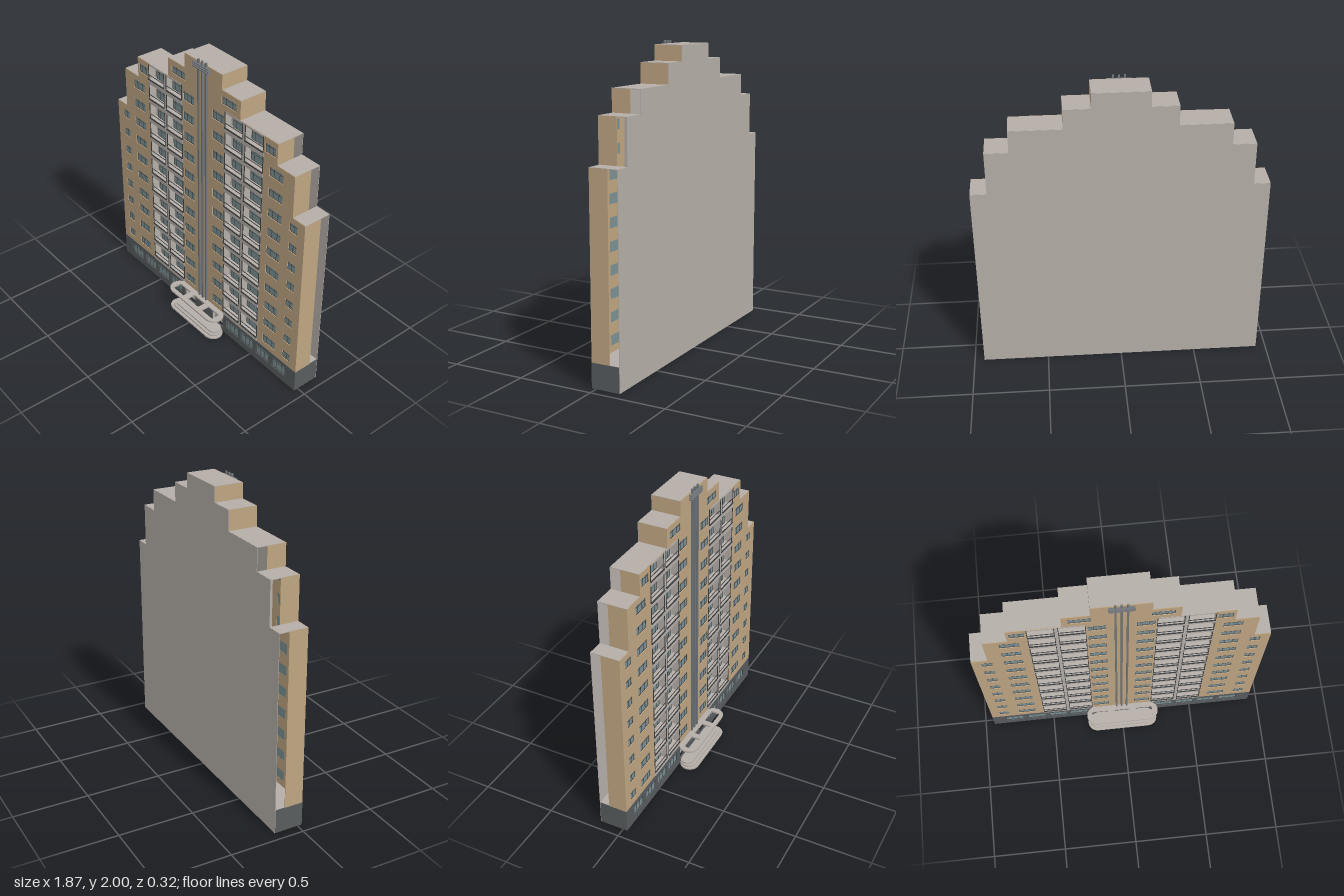
import * as THREE from 'three';
import { mergeGeometries } from 'three/addons/utils/BufferGeometryUtils.js';

const mat = (name, color) => new THREE.MeshStandardMaterial({ name, color, side: THREE.DoubleSide });

export function createModel() {
  const model = new THREE.Group();
  model.name = 'apartmentBlock';
  const tan = mat('tanWall', 0xbfa582), grey = mat('paleConcrete', 0xb5aea8), dark = mat('darkPlinth', 0x585c5e);
  const glass = mat('glass', 0x7b9194), iron = mat('darkIron', 0x3a3d3f), steel = mat('steel', 0x727679);
  const FRONT = 0.03, BACK = -0.16, FLOOR = 0.1445, BASE = 0.16;

  // Geometries are gathered by part name and merged into one mesh each
  const parts = new Map();
  const add = (name, material, geometry) => {
    if (!parts.has(name)) parts.set(name, { material, list: [] });
    parts.get(name).list.push(geometry.index ? geometry.toNonIndexed() : geometry);
  };
  const box = (name, material, x0, x1, y0, y1, z0, z1) => {
    const g = new THREE.BoxGeometry(Math.abs(x1 - x0), y1 - y0, z1 - z0);
    add(name, material, g.translate((x0 + x1) / 2, (y0 + y1) / 2, (z0 + z1) / 2));
  };
  const rectPath = (x0, x1, y0, y1) => new THREE.Path([[x0, y0], [x0, y1], [x1, y1], [x1, y0]].map(p => new THREE.Vector2(...p)));
  const extrude = (shape, depth) => new THREE.ExtrudeGeometry(shape, { depth, bevelEnabled: false, curveSegments: 12 });

  // Glazed window with an outer frame, mullions and a transom
  const window_ = (cx, cy, w, h, z, mullions) => {
    const x0 = cx - w / 2, x1 = cx + w / 2, y0 = cy - h / 2, y1 = cy + h / 2, t = 0.0015;
    box('windowGlass', glass, x0, x1, y0, y1, z - 0.003, z);
    const bar = (a, b, c, d) => box('windowFrames', iron, a, b, c, d, z, z + 0.003);
    bar(x0, x0 + t, y0, y1);
    bar(x1 - t, x1, y0, y1);
    bar(x0, x1, y0, y0 + t);
    bar(x0, x1, y1 - t, y1);
    bar(x0, x1, y1 - h * 0.28, y1 - h * 0.28 + t);
    for (const m of mullions) bar(x0 + w * m - t / 2, x0 + w * m + t / 2, y0, y1);
  };
  const THIRDS = [0.3, 0.7];

  // Stepped silhouette: half width and top of each tier
  const tiers = [[0.935, 1.32], [0.83, 1.605], [0.68, 1.75], [0.35, 1.88], [0.18, 1.98]];
  const outline = bottom => {
    const half = [[0.935, bottom]];
    tiers.forEach(([x, y], i) => {
      half.push([x, y]);
      if (tiers[i + 1]) half.push([tiers[i + 1][0], y]);
    });
    const mirrored = half.map(([x, y]) => [-x, y]).reverse();
    return new THREE.Shape([...half, ...mirrored].map(p => new THREE.Vector2(...p)));
  };

  // Front wall with window openings and two balcony bays
  const wall = outline(BASE);
  const openings = [];
  for (let i = 0; i < 11; i++) {
    const y = BASE + i * FLOOR + 0.075;
    openings.push([0.145, y, 0.108, 0.065]);
    openings.push(i < 10 ? [0.675, y, 0.12, 0.065] : [0.618, y, 0.09, 0.062]);
    if (i < 8) openings.push([0.84, y, 0.068, 0.062]);
  }
  openings.push([0.244, 1.815, 0.136, 0.054]);
  for (const s of [-1, 1]) {
    for (const [x, y, w, h] of openings) {
      wall.holes.push(rectPath(s * x - w / 2, s * x + w / 2, y - h / 2, y + h / 2));
      window_(s * x, y, w, h, FRONT - 0.008, w < 0.08 ? [0.5] : THIRDS);
    }
    wall.holes.push(rectPath(s * 0.385 - 0.175, s * 0.385 + 0.175, BASE + 0.001, 1.745));
  }
  add('frontWall', tan, extrude(wall, 0.012).translate(0, 0, FRONT - 0.012));

  // Back wall, side walls (open slot behind the lower tiers) and roofs
  add('backWall', grey, extrude(outline(0), 0.003).translate(0, 0, BACK - 0.003));
  tiers.forEach(([x, y], i) => {
    const y0 = i ? tiers[i - 1][1] : BASE;
    const next = tiers[i + 1] ? tiers[i + 1][0] : 0;
    for (const s of [-1, 1]) {
      box('sideWalls', tan, s * x, s * (x - 0.004), y0, y, i < 3 ? -0.095 : BACK, FRONT - 0.001);
      box('roofs', grey, s * x, s * next, y - 0.003, y + 0.001, BACK, FRONT - 0.004);
    }
  });

  // Balcony bays: recessed wall, slabs, divider, glazing and railings
  const RECESS = -0.02;
  for (const s of [-1, 1]) {
    const c = s * 0.385, x0 = c - 0.175, x1 = c + 0.175;
    box('balconyBackWall', grey, x0, x1, BASE, 1.75, RECESS - 0.004, RECESS);
    for (const x of [x0, x1]) box('balconyCheeks', grey, x - 0.002, x + 0.002, BASE, 1.745, RECESS, FRONT);
    box('balconyDividers', grey, c - 0.01, c + 0.01, BASE, 1.745, RECESS, FRONT + 0.002);
    for (let i = 0; i < 11; i++) {
      const y = BASE + i * FLOOR;
      box('balconySlabs', grey, x0, x1, y, y + 0.03, RECESS, FRONT + 0.004);
      for (const d of [-1, 1]) {
        window_(c + d * 0.084, y + 0.066, 0.13, 0.068, RECESS + 0.004, [0.22, 0.78]);
        const a = c + d * 0.01, b = c + d * 0.175;
        const lo = Math.min(a, b), hi = Math.max(a, b);
        box('balconyRailings', iron, lo, hi, y + 0.03, y + 0.037, FRONT + 0.002, FRONT + 0.008);
        box('balconyRailings', iron, lo, hi, y + 0.066, y + 0.069, FRONT + 0.002, FRONT + 0.006);
        for (const x of [lo + 0.002, hi - 0.002]) {
          box('balconyPosts', iron, x - 0.002, x + 0.002, y + 0.03, y + FLOOR, FRONT, FRONT + 0.004);
        }
      }
    }
    box('balconyHeads', grey, x0, x1, 1.738, 1.75, RECESS, FRONT + 0.002);
  }

  // Plinth, hollow and open below, with shop windows and entrance niches
  const plinth = new THREE.Shape(rectPath(-0.935, 0.935, 0, BASE).getPoints());
  for (const s of [-1, 1]) {
    for (const x of [0.31, 0.462, 0.618, 0.778]) {
      plinth.holes.push(rectPath(s * x - 0.062, s * x + 0.062, 0.053, 0.13));
      window_(s * x, 0.0915, 0.124, 0.077, FRONT - 0.008, [0.33, 0.67]);
    }
    // Doorway with its outer top corner rounded
    const door = new THREE.Path();
    door.moveTo(s * 0.093, 0.028).lineTo(s * 0.093, 0.142).lineTo(s * 0.185, 0.142);
    door.quadraticCurveTo(s * 0.21, 0.142, s * 0.21, 0.117).lineTo(s * 0.21, 0.028);
    plinth.holes.push(door);
    box('entranceNiches', grey, s * 0.09, s * 0.214, 0.025, 0.146, FRONT - 0.034, FRONT - 0.03);
    for (const x of [0.091, 0.212]) {
      box('entranceNiches', grey, s * (x - 0.001), s * (x + 0.001), 0.025, 0.146, FRONT - 0.03, FRONT - 0.012);
    }
    box('plinthSides', dark, s * 0.935, s * 0.931, 0, BASE, BACK, FRONT - 0.001);
  }
  add('plinthFront', dark, extrude(plinth, 0.012).translate(0, 0, FRONT - 0.011));
  box('plinthDeck', grey, -0.931, 0.931, BASE - 0.004, BASE, BACK, FRONT - 0.012);
  box('entryPanel', steel, -0.01, 0.01, 0.085, 0.115, FRONT, FRONT + 0.004);

  // Rounded plan shape laid flat for the canopy and steps
  const slab = (name, hw, z0, z1, y, h, holes = []) => {
    const r = (z1 - z0) / 2 - 0.001, shape = new THREE.Shape();
    shape.moveTo(-hw + r, -z1).lineTo(hw - r, -z1);
    shape.absarc(hw - r, -(z0 + z1) / 2, r, -Math.PI / 2, Math.PI / 2, false);
    shape.lineTo(-hw + r, -z0);
    shape.absarc(-hw + r, -(z0 + z1) / 2, r, Math.PI / 2, Math.PI * 1.5, false);
    shape.holes.push(...holes);
    add(name, grey, extrude(shape, h).rotateX(-Math.PI / 2).translate(0, y, 0));
  };
  slab('entranceCanopy', 0.255, 0.026, 0.16, 0.153, 0.012,
    [-0.157, 0, 0.155].map(x => rectPath(x - 0.058, x + 0.058, -0.13, -0.066)));
  [[0.25, 0.16], [0.236, 0.14], [0.222, 0.12]].forEach(([hw, z1], i) => slab('entranceSteps', hw, 0.03, z1, i * 0.01, 0.01));

  // Rooftop mast: three uprights and three cross bars
  for (const x of [-0.036, 0, 0.036]) {
    box('mastUprights', steel, x - 0.006, x + 0.006, BASE, 2, FRONT, FRONT + 0.012);
  }
  for (const y of [1.943, 1.957, 1.971]) {
    box('mastCrossBars', steel, -0.077, 0.077, y - 0.003, y + 0.003, FRONT + 0.004, FRONT + 0.022);
  }

  for (const [name, { material, list }] of parts) {
    const mesh = new THREE.Mesh(mergeGeometries(list), material);
    mesh.name = name;
    model.add(mesh);
  }
  return model;
}
